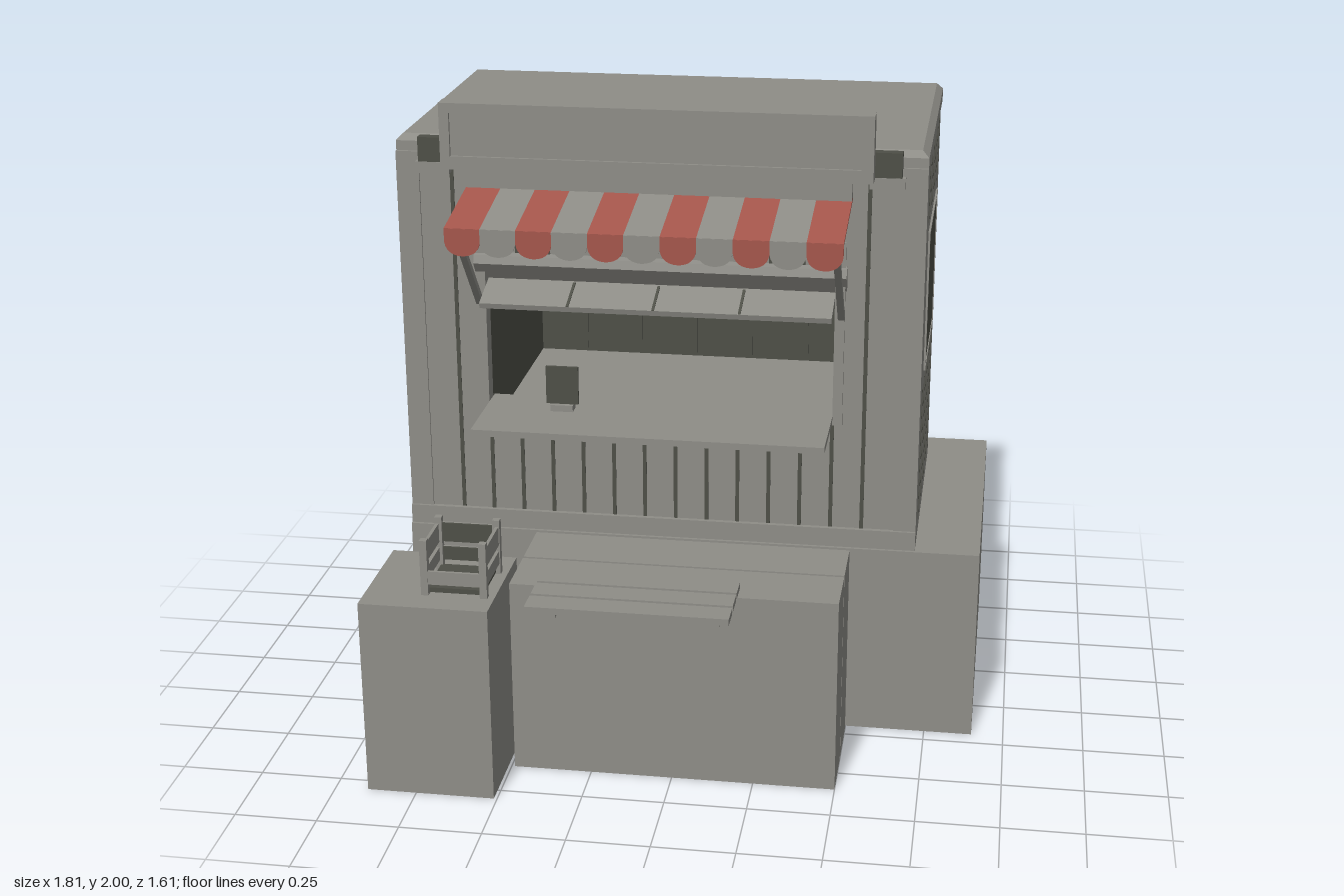
import * as THREE from 'three';

const mat = (name, color, side = THREE.FrontSide) => {
  const m = new THREE.MeshStandardMaterial({ color, side });
  m.name = name;
  return m;
};

export function createModel() {
  const root = new THREE.Group();
  root.name = 'marketKiosk';
  const gray = mat('weatheredGray', 0x8e8d87);
  const dark = mat('shadowDark', 0x4e4f47);
  const red = mat('awningRed', 0xa5564c, THREE.DoubleSide);
  const cloth = mat('awningGray', 0x8e8d87, THREE.DoubleSide);

  const add = (name, geo, m, parent = root) => {
    const mesh = new THREE.Mesh(geo, m);
    mesh.name = name;
    parent.add(mesh);
    return mesh;
  };
  // Box given by its limits on each axis
  const box = (name, x0, x1, y0, y1, z0, z1, m = gray, parent = root) => {
    const mesh = add(name, new THREE.BoxGeometry(x1 - x0, y1 - y0, z1 - z0), m, parent);
    mesh.position.set((x0 + x1) / 2, (y0 + y1) / 2, (z0 + z1) / 2);
    return mesh;
  };
  // Side profile of [z, y] points extruded along x
  const prism = (name, pts, x0, x1, m = gray) => {
    const shape = new THREE.Shape(pts.map(([z, y]) => new THREE.Vector2(-z, y)));
    const geo = new THREE.ExtrudeGeometry(shape, { depth: x1 - x0, bevelEnabled: false });
    geo.rotateY(Math.PI / 2);
    geo.translate(x0, 0, 0);
    return add(name, geo, m);
  };
  const rectPath = (C, x0, x1, y0, y1) => {
    const p = new C();
    p.moveTo(x0, y0); p.lineTo(x1, y0); p.lineTo(x1, y1); p.lineTo(x0, y1); p.closePath();
    return p;
  };
  const framed = (outer, hole, depth) => {
    const s = rectPath(THREE.Shape, ...outer);
    s.holes.push(rectPath(THREE.Path, ...hole));
    return new THREE.ExtrudeGeometry(s, { depth, bevelEnabled: false });
  };

  // Ground blocks
  box('mainPlinth', -0.9, 0.9, 0, 0.62, -0.8, 0.195);
  box('innerFrontBlock', -0.49, 0.5, 0, 0.62, 0.21, 0.4);
  box('outerFrontBlock', -0.49, 0.5, 0, 0.62, 0.41, 0.6);
  box('crateBlock', -0.9, -0.51, 0, 0.62, 0.41, 0.8);

  // Walls, with the serving opening cut through the front
  const front = add('frontWall', framed([-0.9, 0.7, 0.62, 1.83], [-0.635, 0.435, 1.03, 1.46], 0.04), gray);
  front.position.z = 0.13;
  box('backWall', -0.9, 0.7, 0.62, 1.83, -0.66, -0.62);
  box('leftWall', 0.66, 0.7, 0.62, 1.83, -0.62, 0.13);
  box('rightWall', -0.9, -0.86, 0.62, 1.83, -0.62, 0.13);
  box('frontSkirting', -0.9, 0.7, 0.62, 0.68, 0.17, 0.185);
  box('backSkirting', -0.9, 0.7, 0.62, 0.68, -0.668, -0.66);
  for (const x of [-0.9, 0.63]) box('cornerBoard', x, x + 0.07, 0.68, 1.83, 0.17, 0.176);

  // Roof slab with a bevelled top
  box('roof', -0.9, 0.7, 1.82, 1.86, -0.81, 0.165);
  const cap = new THREE.BoxGeometry(1.6, 0.02, 0.975);
  const cp = cap.attributes.position;
  for (let i = 0; i < cp.count; i++) {
    if (cp.getY(i) > 0) cp.setXYZ(i, cp.getX(i) * 0.975, cp.getY(i), cp.getZ(i) * 0.965);
  }
  cap.computeVertexNormals();
  add('roofCap', cap, gray).position.set(-0.1, 1.87, -0.3225);

  // Dark lining, boards, shelf and worktop inside
  box('innerBack', -0.86, 0.66, 0.64, 1.82, -0.62, -0.612, dark);
  box('innerFloor', -0.86, 0.66, 0.62, 0.64, -0.62, 0.13, dark);
  box('innerSideRight', -0.66, -0.635, 0.64, 1.82, -0.61, 0.13, dark);
  box('innerSideLeft', 0.435, 0.46, 0.64, 1.82, -0.61, 0.13, dark);
  for (let i = 0; i < 5; i++) {
    const x = -0.48 + i * 0.19;
    box('innerBatten', x - 0.005, x + 0.005, 0.96, 1.8, -0.612, -0.606, dark);
  }
  box('backShelf', -0.635, 0.435, 1.235, 1.265, -0.61, -0.43);
  box('worktop', -0.635, 0.435, 0.92, 0.95, -0.61, -0.13);

  // Plank grooves on all four walls
  for (let i = 0; i < 14; i++) {
    const x = -0.73 + i * 0.097;
    const edge = i === 0 || i === 13;
    const spans = edge ? [[0.68, 1.8]] : [[0.68, 1.03], [1.46, 1.82]];
    for (const [a, b] of spans) box('frontGroove', x - 0.006, x + 0.006, a, b, 0.169, 0.172, dark);
  }
  for (let i = 0; i < 15; i++) {
    const x = -0.82 + i * 0.103;
    box('backGroove', x - 0.005, x + 0.005, 0.68, 1.82, -0.662, -0.659, dark);
  }
  for (const wx of [0.7, -0.9]) {
    for (let i = 0; i < 6; i++) {
      const z = 0.065 - i * 0.122;
      const full = i === 0 || i === 5;
      for (const [a, b] of [[0.68, 1.11], [1.64, 1.82]]) {
        box('sideGroove', wx - 0.002, wx + 0.002, a, b, z - 0.005, z + 0.005, dark);
      }
    }
    // Side window and its slim frame
    box('sideWindow', wx - 0.003, wx + 0.003, 1.16, 1.59, -0.495, 0.015, dark);
    const f = framed([-0.5, 0.02, 1.155, 1.597], [-0.49, 0.01, 1.165, 1.587], 0.012);
    f.rotateY(-Math.PI / 2);
    add('windowFrame', f, gray).position.x = wx + 0.006;
  }

  // Serving counter, frame posts and small display board
  box('counter', -0.63, 0.435, 1.03, 1.05, 0.13, 0.45);
  for (const x of [-0.665, 0.435]) box('openingPost', x, x + 0.03, 1.02, 1.6, 0.17, 0.182);
  box('boardFoot', -0.425, -0.355, 1.05, 1.07, 0.22, 0.26);
  box('displayBoard', -0.44, -0.34, 1.07, 1.19, 0.236, 0.245, dark);

  // Folded hatch and sloping shelf over the opening
  prism('hatchFold', [[0.165, 1.44], [0.205, 1.495], [0.195, 1.52], [0.165, 1.525]], -0.665, 0.47);
  prism('slopingShelf', [[0.15, 1.42], [0.285, 1.38], [0.29, 1.397], [0.15, 1.44]], -0.63, 0.435);
  for (const x of [-0.36, -0.1, 0.16]) {
    prism('shelfSeam', [[0.17, 1.433], [0.289, 1.396], [0.289, 1.4], [0.17, 1.438]], x - 0.004, x + 0.004, dark);
  }

  // Sign board with a raised rim and end brackets
  box('signPanel', -0.73, 0.535, 1.81, 1.99, 0.2, 0.25);
  add('signRim', framed([-0.74, 0.545, 1.8, 2], [-0.71, 0.51, 1.84, 1.97], 0.06), gray).position.z = 0.2;
  for (const x of [-0.835, 0.53]) {
    box('signBracketBase', x, x + 0.105, 1.77, 1.805, 0.165, 0.2);
    box('signBracket', x + 0.01, x + 0.095, 1.805, 1.88, 0.165, 0.198, dark);
  }

  // Striped awning with scalloped valance
  box('awningRail', -0.68, 0.48, 1.73, 1.785, 0.165, 0.2);
  const w = 1.16 / 11;
  for (let i = 0; i < 11; i++) {
    const x = -0.68 + i * w;
    const m = i % 2 ? cloth : red;
    prism('awningStripe', [[0.17, 1.728], [0.475, 1.673], [0.475, 1.681], [0.17, 1.737]], x, x + w, m);
    const s = new THREE.Shape();
    s.moveTo(0, 1.68);
    s.lineTo(0, 1.64);
    s.quadraticCurveTo(w * 0.06, 1.6, w / 2, 1.598);
    s.quadraticCurveTo(w * 0.94, 1.6, w, 1.64);
    s.lineTo(w, 1.68);
    s.closePath();
    const geo = new THREE.ExtrudeGeometry(s, { depth: 0.006, bevelEnabled: false, curveSegments: 6 });
    add('awningScallop', geo, m).position.set(x, 0, 0.47);
  }
  for (const x of [-0.665, 0.445]) {
    prism('awningBrace', [[0.17, 1.345], [0.455, 1.67], [0.435, 1.675], [0.17, 1.37]], x, x + 0.02);
  }

  // Slatted bench top on two bearers
  for (const [a, b] of [[0.545, 0.62], [0.632, 0.71], [0.722, 0.8]]) {
    box('benchSlat', -0.4, 0.2, 0.625, 0.645, a, b);
  }
  for (const x of [-0.37, 0.11]) box('benchBearer', x, x + 0.06, 0.61, 0.626, 0.56, 0.79);

  // Open slatted crate
  const crate = new THREE.Group();
  crate.name = 'crate';
  root.add(crate);
  box('crateFloor', -0.715, -0.545, 0.625, 0.64, 0.53, 0.7, dark, crate);
  for (const x of [-0.73, -0.552]) {
    for (const z of [0.515, 0.693]) box('cratePost', x, x + 0.022, 0.62, 0.795, z, z + 0.022, gray, crate);
  }
  for (const [a, b] of [[0.655, 0.697], [0.715, 0.775]]) {
    for (const x of [-0.727, -0.543]) box('crateSideSlat', x, x + 0.01, a, b, 0.53, 0.7, gray, crate);
    box('crateBackSlat', -0.715, -0.545, a, b, 0.517, 0.524, gray, crate);
    box('crateBackLining', -0.715, -0.545, a, b, 0.524, 0.53, dark, crate);
  }
  box('crateFrontSlat', -0.715, -0.545, 0.655, 0.697, 0.703, 0.713, gray, crate);

  return root;
}
